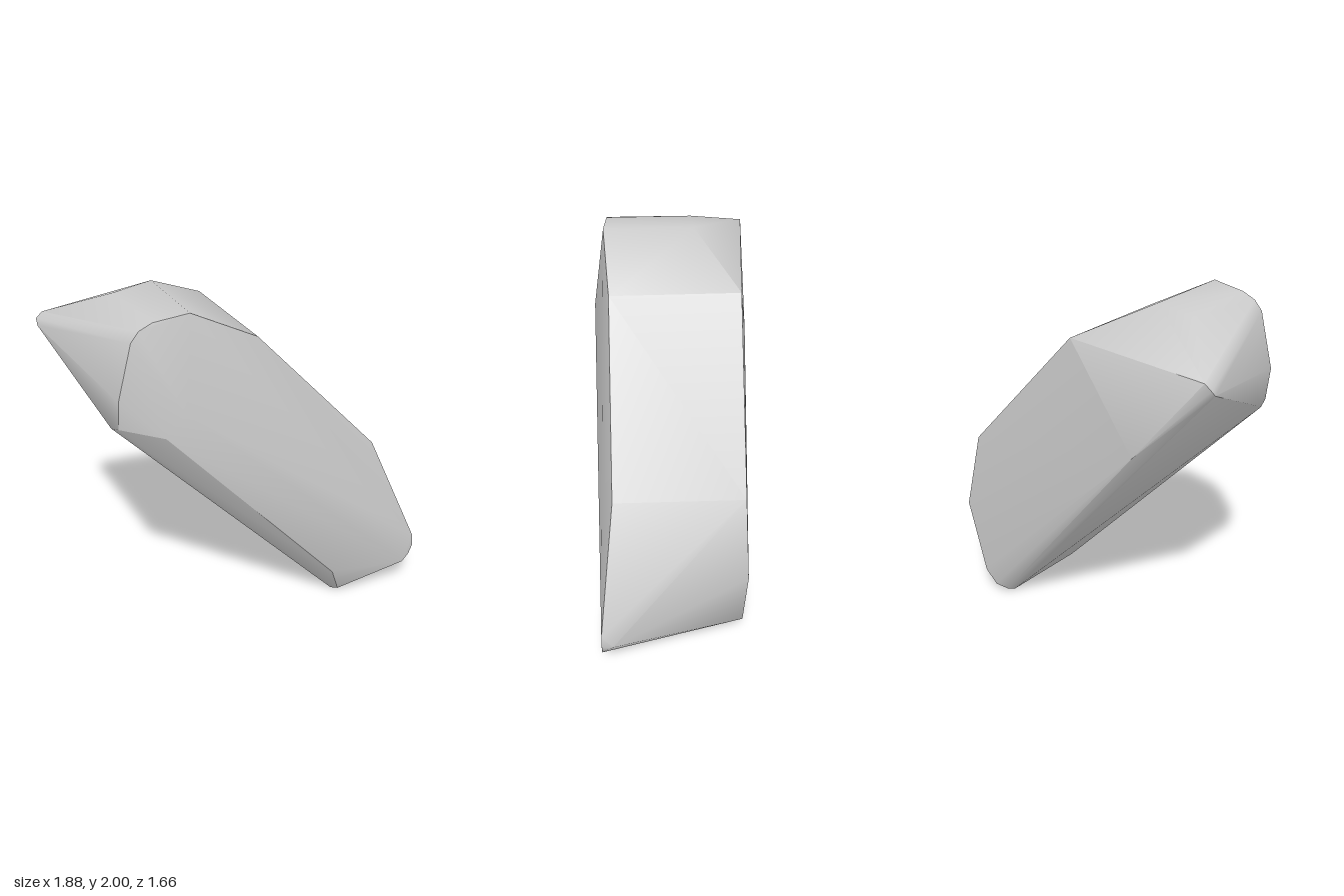
import * as THREE from 'three';
import { ConvexGeometry } from 'three/addons/geometries/ConvexGeometry.js';
import { toCreasedNormals } from 'three/addons/utils/BufferGeometryUtils.js';

// Split a geometry in two: triangles facing a direction, and all the others
function splitByFacing(geometry, direction, minDot) {
  const pos = geometry.attributes.position;
  const facing = [], others = [];
  const tri = new THREE.Triangle();
  const normal = new THREE.Vector3();
  for (let i = 0; i < pos.count; i += 3) {
    tri.setFromAttributeAndIndices(pos, i, i + 1, i + 2);
    const target = tri.getNormal(normal).dot(direction) > minDot ? facing : others;
    target.push(tri.a.clone(), tri.b.clone(), tri.c.clone());
  }
  return [facing, others].map((corners) => new THREE.BufferGeometry().setFromPoints(corners));
}

export function createModel() {
  const group = new THREE.Group();
  group.name = 'slantedRock';
  const stone = new THREE.MeshStandardMaterial({ color: 0xcccccc });
  stone.name = 'stoneGrey';

  // Corners of the leaning, chipped block, grouped by region
  const crown = [
    [0, 2, 0.55], [-0.37, 2, 0.24], [-0.5, 1.97, 0.4],
    [-0.13, 1.98, 0.68], [-0.175, 1.95, 0.735], [-0.2, 1.9, 0.77],
  ];
  const pointedTip = [[-0.94, 1.78, 0.45], [-0.92, 1.81, 0.42], [-0.92, 1.75, 0.47], [-0.67, 1.31, 0.11]];
  const frontChip = [
    [-0.25, 1.61, 0.83], [-0.27, 1.45, 0.81], [-0.33, 1.43, 0.78],
    [-0.06, 1.4, 0.72], [0.01, 1.51, 0.64],
  ];
  const upperSlope = [
    [0.22, 1.8, 0.25], [-0.31, 1.8, -0.19],
    [0.69, 1.02, -0.3], [0.17, 1.02, -0.74], [0.22, 0.56, -0.83],
  ];
  const lowerNose = [
    [0.935, 0.35, -0.47], [0.94, 0.28, -0.475], [0.925, 0.22, -0.46],
    [0.9, 0.18, -0.42], [0.9, 0.29, -0.52], [0.58, 0.26, -0.05],
  ];
  const foot = [
    [0.13, 0, -0.57], [0.52, 0, -0.23], [0.57, 0.025, -0.21],
    [0.1, 0.02, -0.61], [0.11, 0.05, -0.68], [0.15, 0.13, -0.74],
  ];

  const points = [crown, pointedTip, frontChip, upperSlope, lowerNose, foot]
    .flat()
    .map((p) => new THREE.Vector3(...p));

  // The broad flank keeps a sharp outline; the rest blends over its small bevels
  const flankDirection = new THREE.Vector3(0.77, 0, 0.64);
  const [flank, body] = splitByFacing(new ConvexGeometry(points), flankDirection, 0.8);
  for (const [name, geometry] of [['broadFlank', flank], ['rockBody', body]]) {
    const mesh = new THREE.Mesh(toCreasedNormals(geometry, 0.85), stone);
    mesh.name = name;
    group.add(mesh);
  }
  return group;
}
